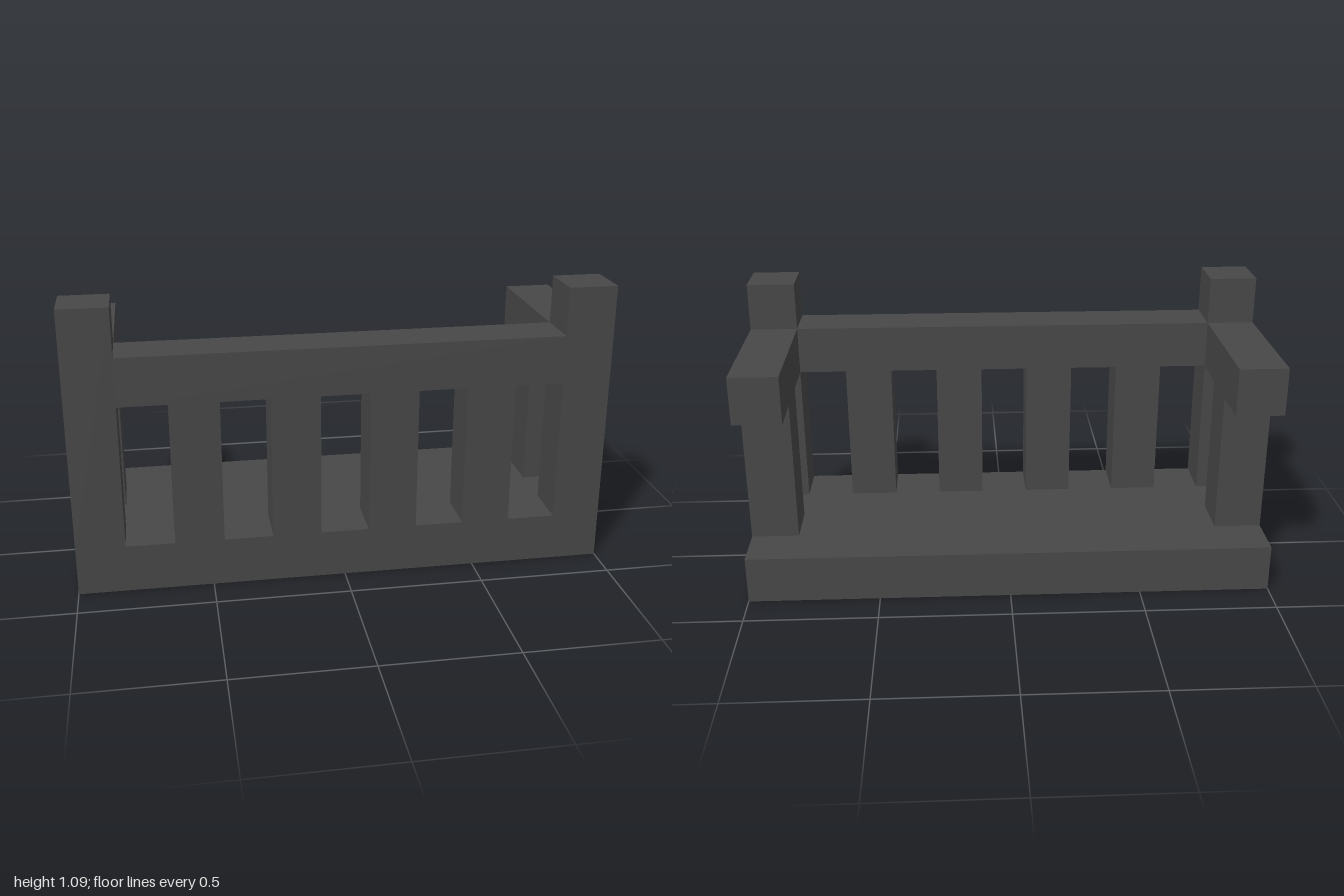
import * as THREE from 'three';

// The balcony sits on a grid of 11 x 6 x 4 square modules.
const U = 2 / 11;

export function createModel() {
  const group = new THREE.Group();
  group.name = 'balcony';
  const darkGrey = new THREE.MeshStandardMaterial({ color: 0x484848 });
  darkGrey.name = 'dark grey';

  // Box given by its size and centre, in modules
  function block(name, w, h, d, x, y, z) {
    const mesh = new THREE.Mesh(new THREE.BoxGeometry(w * U, h * U, d * U), darkGrey);
    mesh.name = name;
    mesh.position.set(x * U, y * U, z * U);
    group.add(mesh);
  }

  // Floor slab and front handrail
  block('floor', 11, 1, 4, 0, 0.5, 0);
  block('frontRail', 9, 1, 1, 0, 4.5, 1.5);

  // Front balusters
  for (const x of [-3, -1, 1, 3]) block('frontBaluster', 1, 3, 1, x, 2.5, 1.5);

  // Corner posts, side handrails and side balusters, mirrored
  for (const [side, s] of [['left', 1], ['right', -1]]) {
    block(side + 'CornerPost', 1, 5, 1, s * 5, 3.5, 1.5);
    block(side + 'Rail', 1, 1, 3, s * 5, 4.5, -0.5);
    block(side + 'Baluster', 1, 3, 1, s * 5, 2.5, -0.5);
  }

  return group;
}
